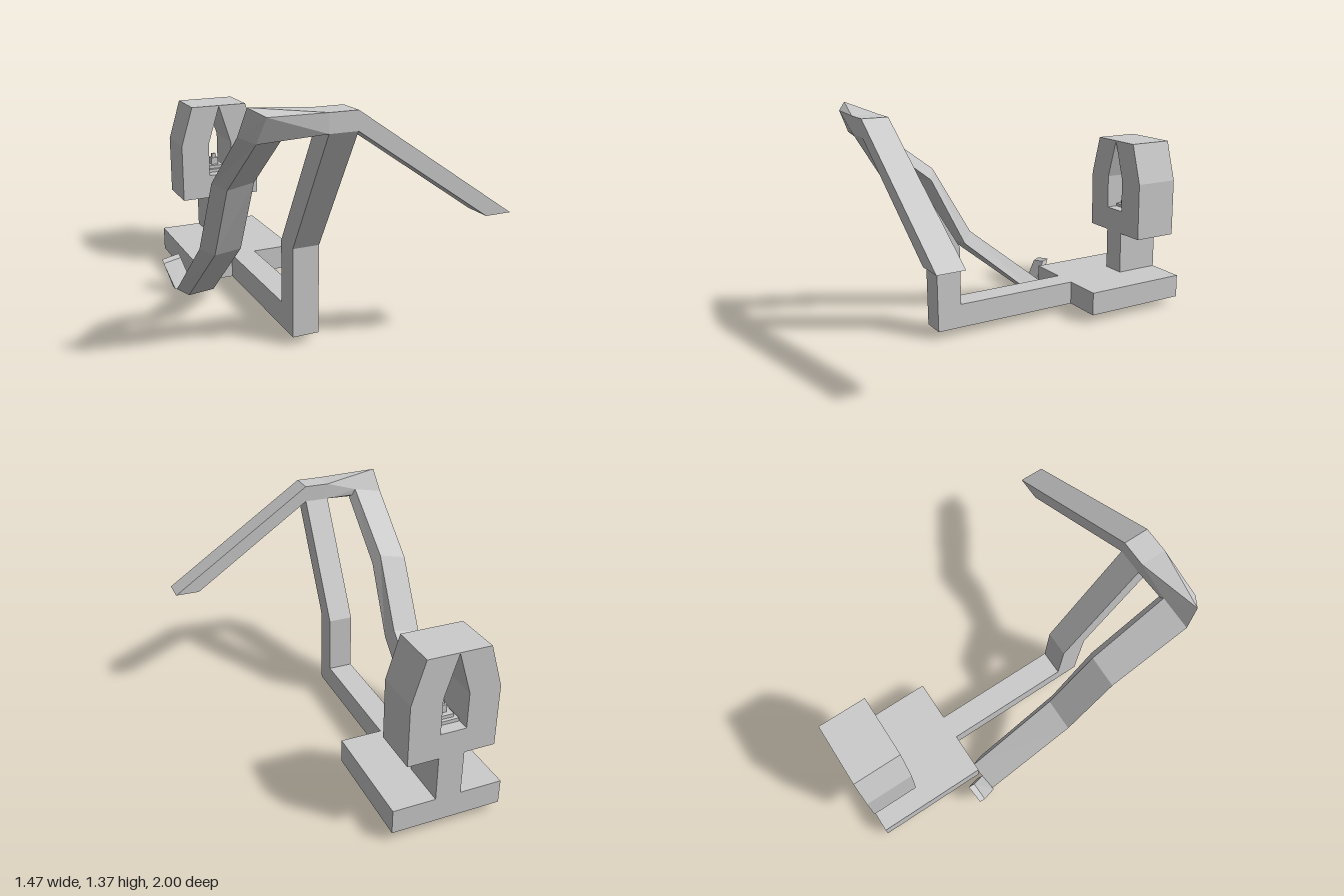
import * as THREE from 'three';
import { ConvexGeometry } from 'three/addons/geometries/ConvexGeometry.js';

const material = new THREE.MeshStandardMaterial({ color: 0xcccccc, flatShading: true });

function add(group, name, geometry, x = 0, y = 0, z = 0) {
  const mesh = new THREE.Mesh(geometry, material);
  mesh.name = name;
  mesh.position.set(x, y, z);
  group.add(mesh);
  return mesh;
}

const points = (list) => list.map(([x, y]) => new THREE.Vector2(x, y));

function extrude(outline, depth, hole) {
  const shape = new THREE.Shape(points(outline));
  if (hole) shape.holes.push(new THREE.Path(points(hole)));
  return new THREE.ExtrudeGeometry(shape, { depth, bevelEnabled: false });
}

// Joins four-cornered rings, listed from bottom to top, into a closed beam
function loft(rings) {
  const pos = [];
  const quad = (a, b, c, d) => pos.push(...a, ...b, ...c, ...a, ...c, ...d);
  for (let r = 0; r + 1 < rings.length; r++) {
    for (let i = 0; i < 4; i++) {
      const j = (i + 1) % 4;
      quad(rings[r][i], rings[r][j], rings[r + 1][j], rings[r + 1][i]);
    }
  }
  const [a, b, c, d] = rings[0];
  quad(d, c, b, a);
  quad(...rings[rings.length - 1]);
  const geometry = new THREE.BufferGeometry();
  geometry.setAttribute('position', new THREE.Float32BufferAttribute(pos, 3));
  geometry.computeVertexNormals();
  return geometry;
}

export function createModel() {
  const model = new THREE.Group();
  const midX = -0.245;

  // Base plate, with the spine running forward and rising into the bent post
  add(model, 'basePlate', new THREE.BoxGeometry(0.65, 0.145, 0.67), midX, 0.1225, -0.665);
  const spine = extrude([
    [-0.33, 0.05], [0.6, 0.05], [0.6, 0.55], [1, 1.235],
    [0.85, 1.235], [0.45, 0.55], [0.45, 0.195], [-0.33, 0.195],
  ], 0.15);
  spine.rotateY(-Math.PI / 2);
  add(model, 'spineAndPost', spine, -0.17);

  // Shrine on its neck, with an arched opening through it
  add(model, 'neck', new THREE.BoxGeometry(0.15, 0.27, 0.28), midX, 0.328, -0.86);
  add(model, 'shrine', extrude(
    [[-0.255, 0.46], [0.255, 0.46], [0.255, 0.82], [0.18, 1.067], [-0.18, 1.067], [-0.255, 0.82]],
    0.28,
    [[-0.075, 0.61], [-0.075, 0.82], [0, 1.063], [0.075, 0.82], [0.075, 0.61]],
  ), midX, 0, -1);

  // Small stepped ornament standing in the opening
  const ornament = new THREE.Group();
  ornament.name = 'ornament';
  let y = 0.61;
  for (const [width, height] of [[0.14, 0.02], [0.1, 0.02], [0.045, 0.045], [0.025, 0.025]]) {
    add(ornament, 'ornamentStep', new THREE.BoxGeometry(width, height, width), midX, y + height / 2, -0.86);
    y += height;
  }
  model.add(ornament);

  // Top bar sloping down to one side
  add(model, 'slopingArm', extrude([
    [-0.32, 1.235], [-0.17, 1.235], [0.58, 0.725], [0.73, 0.725], [-0.17, 1.333], [-0.32, 1.333],
  ], 0.15), 0, 0, 0.85);

  // Long bent arm; each ring is outer, under, inner, upper corner
  const armTop = [[-0.71, 1.23, 0.87], [-0.64, 1.2, 0.92], [-0.485, 1.22, 0.88], [-0.52, 1.27, 0.855]];
  add(model, 'bentArm', loft([
    [[-0.69, 0.04, -0.3], [-0.625, 0, -0.27], [-0.475, 0.022, -0.25], [-0.51, 0.09, -0.33]],
    [[-0.7, 0.48, 0.22], [-0.635, 0.455, 0.285], [-0.48, 0.465, 0.265], [-0.515, 0.53, 0.21]],
    [[-0.7, 0.91, 0.46], [-0.64, 0.88, 0.52], [-0.48, 0.895, 0.48], [-0.52, 0.955, 0.45]],
    armTop,
  ]));

  // Elbow joining the bent arm to the top bar
  add(model, 'elbow', new ConvexGeometry([
    ...armTop,
    [-0.68, 1.37, 0.92], [-0.61, 1.33, 0.975],
    [-0.32, 1.235, 0.85], [-0.32, 1.333, 0.85], [-0.32, 1.235, 1], [-0.32, 1.333, 1],
  ].map((p) => new THREE.Vector3(...p))));

  // Upturned flap at the arm's lower end
  add(model, 'endFlap', loft([
    [[-0.7, 0.04, -0.3], [-0.59, 0.05, -0.31], [-0.59, 0.05, -0.36], [-0.7, 0.04, -0.35]],
    [[-0.74, 0.18, -0.395], [-0.63, 0.2, -0.4], [-0.63, 0.213, -0.44], [-0.74, 0.195, -0.43]],
  ]));

  return model;
}
